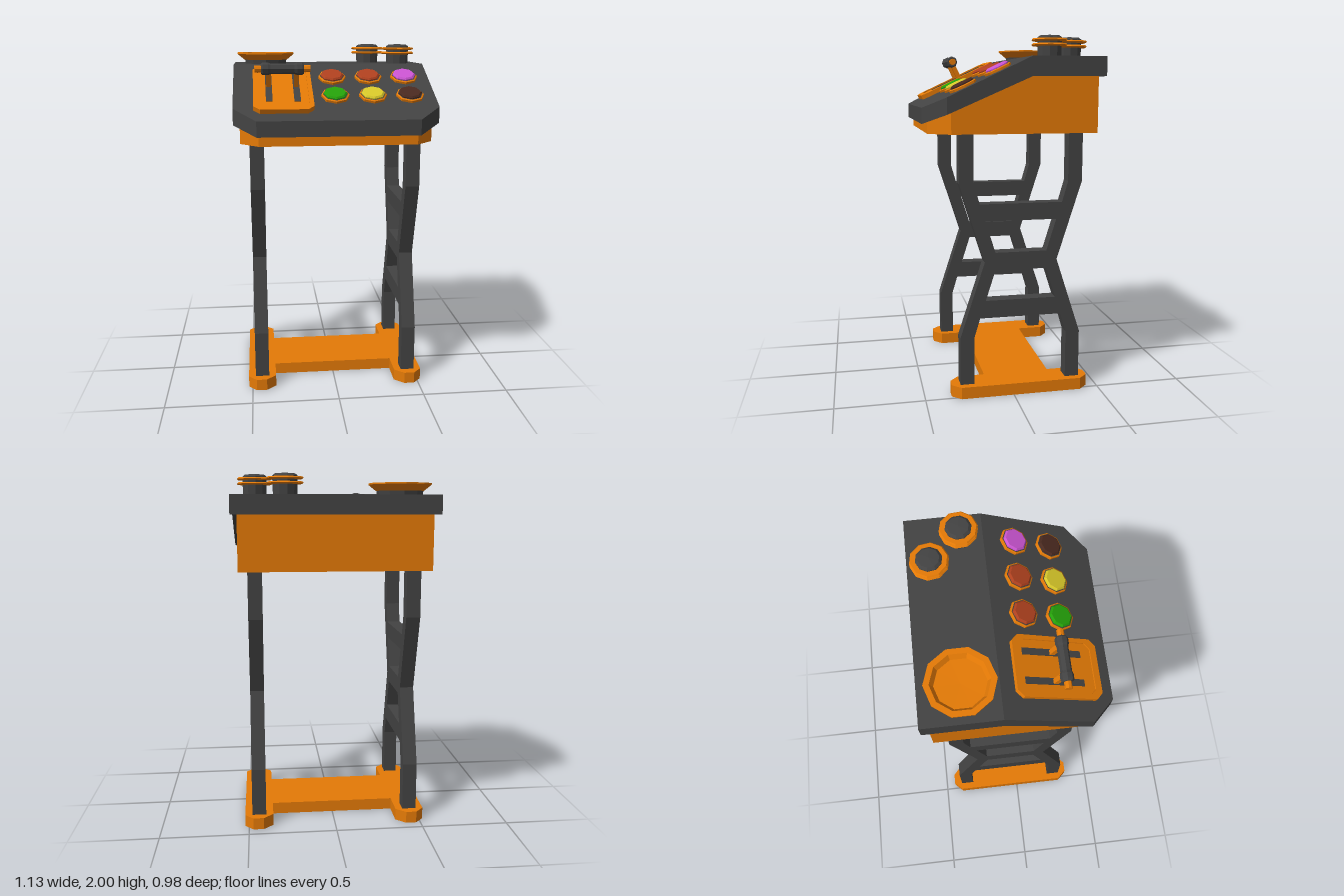
import * as THREE from 'three';

const mat = (name, color) => {
  const m = new THREE.MeshStandardMaterial({ color, flatShading: true });
  m.name = name;
  return m;
};

export function createModel() {
  const orange = mat('orange', 0xe47a06), dark = mat('charcoal', 0x434343);
  const red = mat('red', 0xb0411f), magenta = mat('magenta', 0xcb55d3), green = mat('green', 0x25a20a);
  const yellow = mat('yellow', 0xd9c92a), brown = mat('brown', 0x4a2a20);
  const model = new THREE.Group();
  model.name = 'controlConsole';

  const add = (parent, name, geo, material, x = 0, y = 0, z = 0) => {
    const mesh = new THREE.Mesh(geo, material);
    mesh.name = name;
    mesh.position.set(x, y, z);
    parent.add(mesh);
    return mesh;
  };
  const toShape = (pts) => new THREE.Shape(pts.map(([x, y]) => new THREE.Vector2(x, y)));
  const lathe = (pts, sides) => new THREE.LatheGeometry(pts.map(([r, y]) => new THREE.Vector2(r, y)), sides);
  // Appends the points mirrored across the first axis, closing the outline
  const mirrored = (pts) => pts.concat([...pts].reverse().map(([a, b]) => [-a, b]));
  // Plan outline [x, -z] raised to a height
  const plate = (shape, height) =>
    new THREE.ExtrudeGeometry(shape, { depth: height, bevelEnabled: false }).rotateX(-Math.PI / 2);
  // Rectangular sections [z, halfWidth, bottom, top] joined from back to front
  const loft = (sections) => {
    const pos = [], idx = [];
    for (const [z, w, b, t] of sections) pos.push(-w, b, z, w, b, z, w, t, z, -w, t, z);
    const n = sections.length;
    for (let k = 0; k < n - 1; k++) {
      for (let i = 0; i < 4; i++) {
        const a = k * 4 + i, b = k * 4 + (i + 1) % 4;
        idx.push(a, b, b + 4, a, b + 4, a + 4);
      }
    }
    const f = (n - 1) * 4;
    idx.push(0, 2, 1, 0, 3, 2, f, f + 1, f + 2, f, f + 2, f + 3);
    const g = new THREE.BufferGeometry();
    g.setAttribute('position', new THREE.Float32BufferAttribute(pos, 3));
    g.setIndex(idx);
    const flat = g.toNonIndexed();
    flat.computeVertexNormals();
    return flat;
  };

  // H-shaped foot plate
  const quarter = [[0.36, 0.19], [0.36, 0.345], [0.415, 0.395], [0.475, 0.395], [0.522, 0.345]];
  const half = quarter.concat([...quarter].reverse().map(([x, z]) => [x, -z]));
  add(model, 'footPlate', plate(toShape(mirrored(half)), 0.067), orange, 0, 0, -0.045);

  // Waisted leg frames: one side outline [z, y] with two windows between the rungs
  const frameShape = toShape(mirrored([[0.232, 0.45], [0.265, 0.34], [0.265, 0.05], [0.345, 0.05],
    [0.345, 0.34], [0.205, 0.77], [0.345, 1.21], [0.345, 1.5], [0.265, 1.5], [0.265, 1.21], [0.232, 1.095]]));
  frameShape.holes.push(toShape(mirrored([[0.145, 0.822], [0.2, 1]])),
    toShape(mirrored([[0.145, 0.722], [0.2, 0.55]])));
  const frameGeo = new THREE.ExtrudeGeometry(frameShape, { depth: 0.08, bevelEnabled: false })
    .rotateY(-Math.PI / 2).translate(0.04, 0, 0);
  for (const s of [-1, 1]) {
    add(model, s > 0 ? 'leftLegFrame' : 'rightLegFrame', frameGeo, dark, s * 0.441, 0, -0.045);
  }

  // Cabinet and overhanging desk top
  add(model, 'cabinet', loft([
    [-0.457, 0.53, 1.477, 1.79], [-0.085, 0.53, 1.477, 1.79],
    [0.345, 0.53, 1.477, 1.603], [0.46, 0.43, 1.477, 1.553]]), orange);
  add(model, 'deskTop', loft([
    [-0.49, 0.565, 1.78, 1.885], [-0.085, 0.565, 1.78, 1.885],
    [0.37, 0.565, 1.582, 1.671], [0.49, 0.44, 1.53, 1.615]]), dark);

  // Dish on a short stand
  add(model, 'dishStand', new THREE.CylinderGeometry(0.132, 0.128, 0.03, 10), dark, -0.374, 1.897, -0.272);
  add(model, 'dish', lathe([[0, 1.908], [0.135, 1.908], [0.178, 1.942], [0.178, 1.95], [0.148, 1.95],
    [0.13, 1.922], [0, 1.918]], 10), orange, -0.374, 0, -0.272);

  // Domed knobs with two collars
  for (const [x, z, turn] of [[0.27, -0.368, 0.15], [0.433, -0.207, 0.08]]) {
    const knob = new THREE.Group();
    knob.name = 'knob';
    knob.position.set(x, 0, z);
    knob.rotation.y = turn;
    model.add(knob);
    add(knob, 'knobBody', lathe([[0, 1.88], [0.066, 1.88], [0.069, 1.985], [0.055, 1.996], [0, 2]], 10), dark);
    for (const y of [1.947, 1.973]) {
      add(knob, 'knobCollar', lathe([[0.065, -0.007], [0.094, -0.007], [0.101, 0], [0.094, 0.007],
        [0.065, 0.007]], 10), orange, 0, y);
    }
  }

  // Sloping control panel: local y is the panel normal, local z runs down the slope
  const tilt = 0.439;
  const panel = new THREE.Group();
  panel.name = 'controlPanel';
  panel.position.set(0, 1.885, -0.085);
  panel.rotation.x = tilt;
  model.add(panel);
  const down = (z, h) => (z + 0.085 - Math.sin(tilt) * h) / Math.cos(tilt);

  // Push buttons in two rows
  const buttons = [[red, red, magenta], [green, yellow, brown]];
  buttons.forEach((row, r) => row.forEach((colour, c) => {
    const button = new THREE.Group();
    button.name = 'button';
    button.position.set(c * 0.21, 0, down(0.081 + r * 0.19, 0.02));
    panel.add(button);
    add(button, 'buttonRing', lathe([[0.079, -0.005], [0.079, 0.012], [0.071, 0.016]], 8), orange);
    add(button, 'buttonSeal', lathe([[0.071, 0.016], [0.064, 0.016]], 8), dark);
    add(button, 'buttonCap', lathe([[0.066, 0], [0.066, 0.022], [0.057, 0.03], [0, 0.03]], 8), colour);
  }));

  // Lever plate with raised rim and slots
  const lever = new THREE.Group();
  lever.name = 'lever';
  lever.position.set(-0.29, 0, down(0.212, 0.02));
  panel.add(lever);
  const clipped = (w, l, c) => mirrored([[w - c, -l], [w, -l + c], [w, l - c], [w - c, l]]);
  add(lever, 'leverPlate', plate(toShape(clipped(0.155, 0.235, 0.035)), 0.018), orange);
  const rim = toShape(clipped(0.164, 0.241, 0.035));
  rim.holes.push(toShape(clipped(0.14, 0.205, 0.03)));
  add(lever, 'leverRim', plate(rim, 0.026), orange);
  for (const s of [-1, 1]) {
    add(lever, 'slot', new THREE.BoxGeometry(0.036, 0.006, 0.335), dark, s * 0.077, 0.018, -0.022);
  }

  // Lever arms and grip
  const grip = new THREE.Group();
  grip.name = 'leverGrip';
  grip.position.set(-0.29, 1.873, 0.239);
  model.add(grip);
  for (const s of [-1, 1]) {
    const arm = add(grip, 'leverArm', new THREE.BoxGeometry(0.026, 0.13, 0.026), orange, s * 0.077, -0.055, -0.027);
    arm.rotation.x = 0.45;
  }
  add(grip, 'gripRod', new THREE.CylinderGeometry(0.019, 0.019, 0.307, 8).rotateZ(Math.PI / 2), orange);
  add(grip, 'gripSleeve', lathe([[0, -0.118], [0.027, -0.118], [0.034, -0.108], [0.034, -0.08], [0.029, -0.065],
    [0.029, 0.065], [0.034, 0.08], [0.034, 0.108], [0.027, 0.118], [0, 0.118]], 8).rotateZ(Math.PI / 2), dark);

  return model;
}
